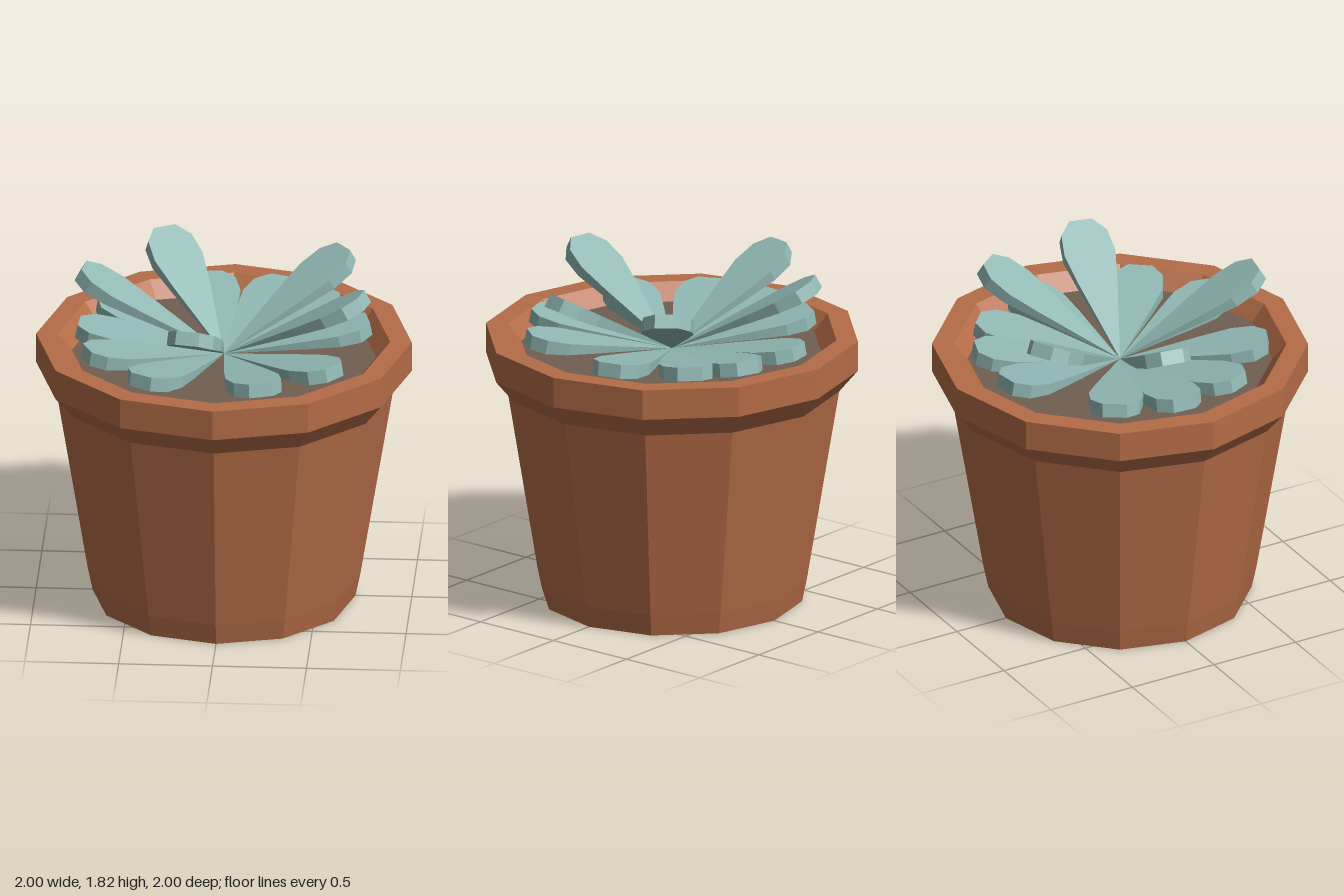
import * as THREE from 'three';

const material = (name, color) => {
  const m = new THREE.MeshStandardMaterial({ color, flatShading: true });
  m.name = name;
  return m;
};

const SIDES = 12;
const SOIL_Y = 1.38;

// Twelve-sided turned shape from [radius, height] pairs
function turned(name, profile, mat) {
  const points = profile.map(([r, y]) => new THREE.Vector2(r, y));
  const mesh = new THREE.Mesh(new THREE.LatheGeometry(points, SIDES), mat);
  mesh.name = name;
  return mesh;
}

// Paddle-shaped leaf along +x: starts at a point and thickens toward the tip
function leafGeometry(length, halfWidth, thickness) {
  const half = [[0.55, 0.76], [0.76, 1], [0.91, 0.9], [1, 0.45]];
  const outline = [
    [0, 0],
    ...half,
    ...half.slice().reverse().map(([u, w]) => [u, -w]),
  ];
  const top = outline.map(([u, w]) => [u * length, 0, w * halfWidth]);
  const bottom = top.map(([x, , z], i) => [x, -thickness * Math.min(1, outline[i][0] * 1.1), z]);
  const pos = [];
  const tri = (a, b, c) => pos.push(...a, ...b, ...c);
  const n = top.length;
  for (let i = 1; i < n - 1; i++) {
    tri(top[0], top[i], top[i + 1]);
    tri(bottom[0], bottom[i + 1], bottom[i]);
  }
  for (let i = 0; i < n; i++) {
    const j = (i + 1) % n;
    if (i !== 0) tri(top[i], bottom[i], bottom[j]);
    if (j !== 0) tri(top[i], bottom[j], top[j]);
  }
  const geo = new THREE.BufferGeometry();
  geo.setAttribute('position', new THREE.Float32BufferAttribute(pos, 3));
  geo.computeVertexNormals();
  return geo;
}

// Ring of leaves pointing at the given headings (degrees from +x toward +z)
function leafRing(name, geo, headings, pitch, mat) {
  const ring = new THREE.Group();
  ring.name = name;
  headings.forEach((deg) => {
    const leaf = new THREE.Mesh(geo, mat);
    leaf.name = 'leaf';
    leaf.position.y = SOIL_Y;
    leaf.rotation.set(0, -THREE.MathUtils.degToRad(deg), THREE.MathUtils.degToRad(pitch));
    ring.add(leaf);
  });
  return ring;
}

export function createModel() {
  const clay = material('terracotta', 0xb46c47);
  const earth = material('soil brown', 0x715f52);
  const green = material('blue green leaf', 0x92b9b5);
  // Top faces must wind upward whichever way the outline runs
  green.side = THREE.DoubleSide;

  const model = new THREE.Group();
  model.name = 'pottedSucculent';

  // Pot with flared rim and sloping inner wall
  model.add(turned('pot', [
    [0, 0], [0.7, 0], [0.725, 0.12], [0.9, 1.185], [1, 1.305],
    [1, 1.47], [0.885, 1.47], [0.81, SOIL_Y],
  ], clay));

  // Soil surface
  model.add(turned('soil', [[0.81, SOIL_Y], [0, SOIL_Y]], earth));

  // Low outer leaves and raised inner leaves
  const low = leafGeometry(0.79, 0.145, 0.075);
  const high = leafGeometry(0.88, 0.14, 0.075);
  model.add(leafRing('lowerLeaves', low,
    [38, 72, 121, 156, 184, 212, 261, 290, 314, 346], 10.8, green));
  model.add(leafRing('upperLeaves', high, [14, 101, 189, 242, 323], 30, green));

  return model;
}
